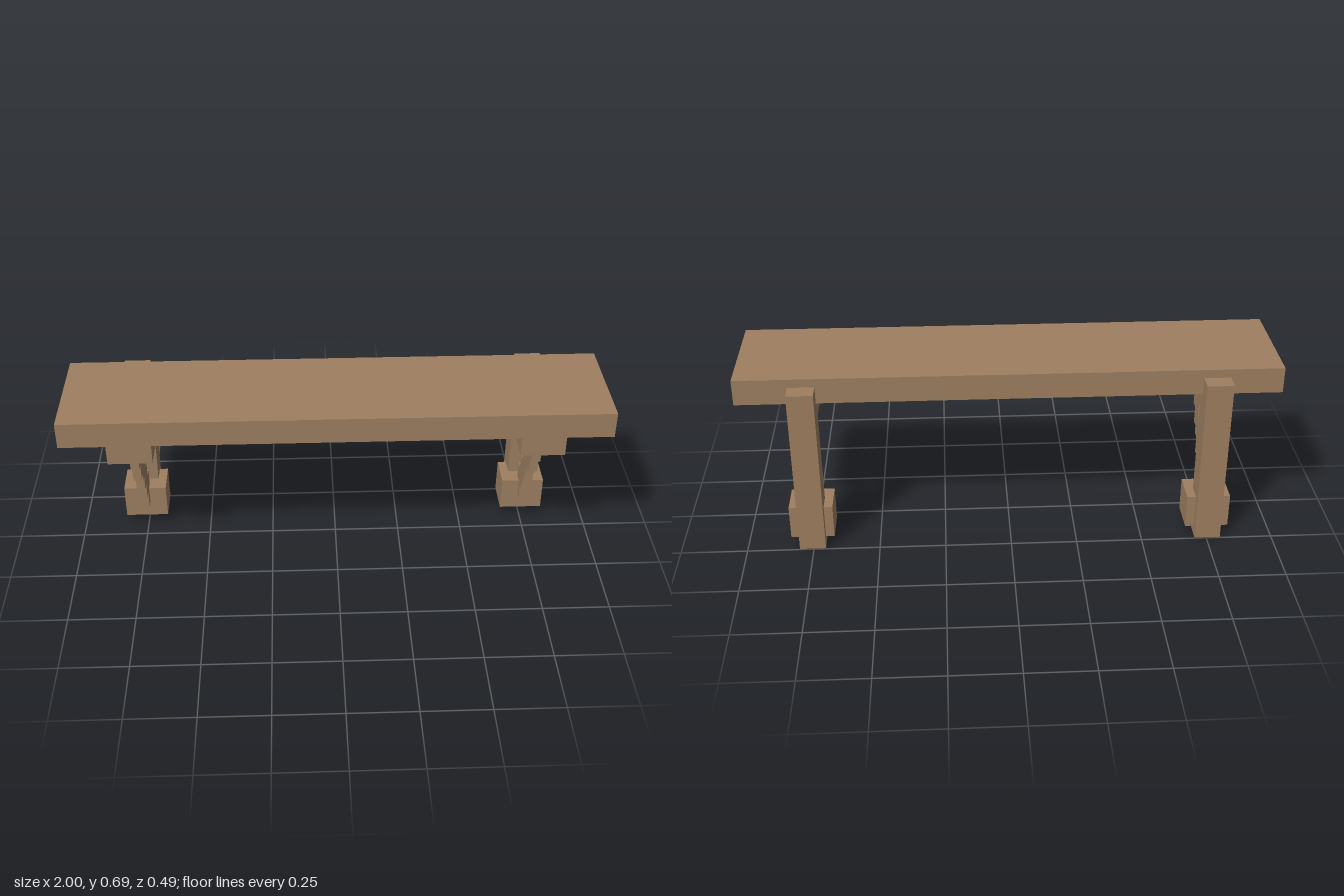
import * as THREE from 'three';

// Everything sits on a grid of small cubes; the shelf is 61 cubes long.
const U = 2 / 61;

export function createModel() {
  const model = new THREE.Group();
  model.name = 'bracketShelf';
  const wood = new THREE.MeshStandardMaterial({ color: 0x9f8061 });
  wood.name = 'brown wood';

  // Box given by its width about x = 0 and its y and z ranges, in cubes
  const block = (parent, name, width, y0, y1, z0, z1) => {
    const geometry = new THREE.BoxGeometry(width * U, (y1 - y0) * U, (z1 - z0) * U);
    const mesh = new THREE.Mesh(geometry, wood);
    mesh.name = name;
    mesh.position.set(0, ((y0 + y1) / 2) * U, ((z0 + z1) / 2) * U);
    parent.add(mesh);
  };

  block(model, 'shelfBoard', 61, 18, 21, -5.5, 7.5);

  // Stepped strut outline: walk down the front edge, then back up the rear edge
  const levels = [16, 14, 12, 10, 9, 7, 5, 3];
  const front = [];
  const rear = [];
  for (let i = 0; i < levels.length - 1; i++) {
    const z = 4.5 - i;
    front.push([z, levels[i]], [z, levels[i + 1]]);
    rear.unshift([z - 3, levels[i + 1]], [z - 3, levels[i]]);
  }
  const outline = [...front, ...rear].map(([z, y]) => new THREE.Vector2(-z * U, y * U));
  const strutGeometry = new THREE.ExtrudeGeometry(new THREE.Shape(outline), {
    depth: U, bevelEnabled: false,
  });
  strutGeometry.translate(0, 0, -U / 2);
  strutGeometry.rotateY(Math.PI / 2); // outline x becomes -z

  // One bracket under each end
  for (const [side, name] of [[1, 'leftBracket'], [-1, 'rightBracket']]) {
    const bracket = new THREE.Group();
    bracket.name = name;
    bracket.position.x = side * 23 * U;
    block(bracket, 'wallPost', 3, 0, 20, -7.5, -4.5);
    block(bracket, 'supportArm', 3, 16, 18, -4.5, 5.5);
    block(bracket, 'frontBlock', 5, 15, 18, 2.5, 6.5);
    block(bracket, 'footBlock', 5, 1, 5, -6.5, -2.5);
    const strut = new THREE.Mesh(strutGeometry, wood);
    strut.name = 'steppedStrut';
    bracket.add(strut);
    model.add(bracket);
  }
  return model;
}
